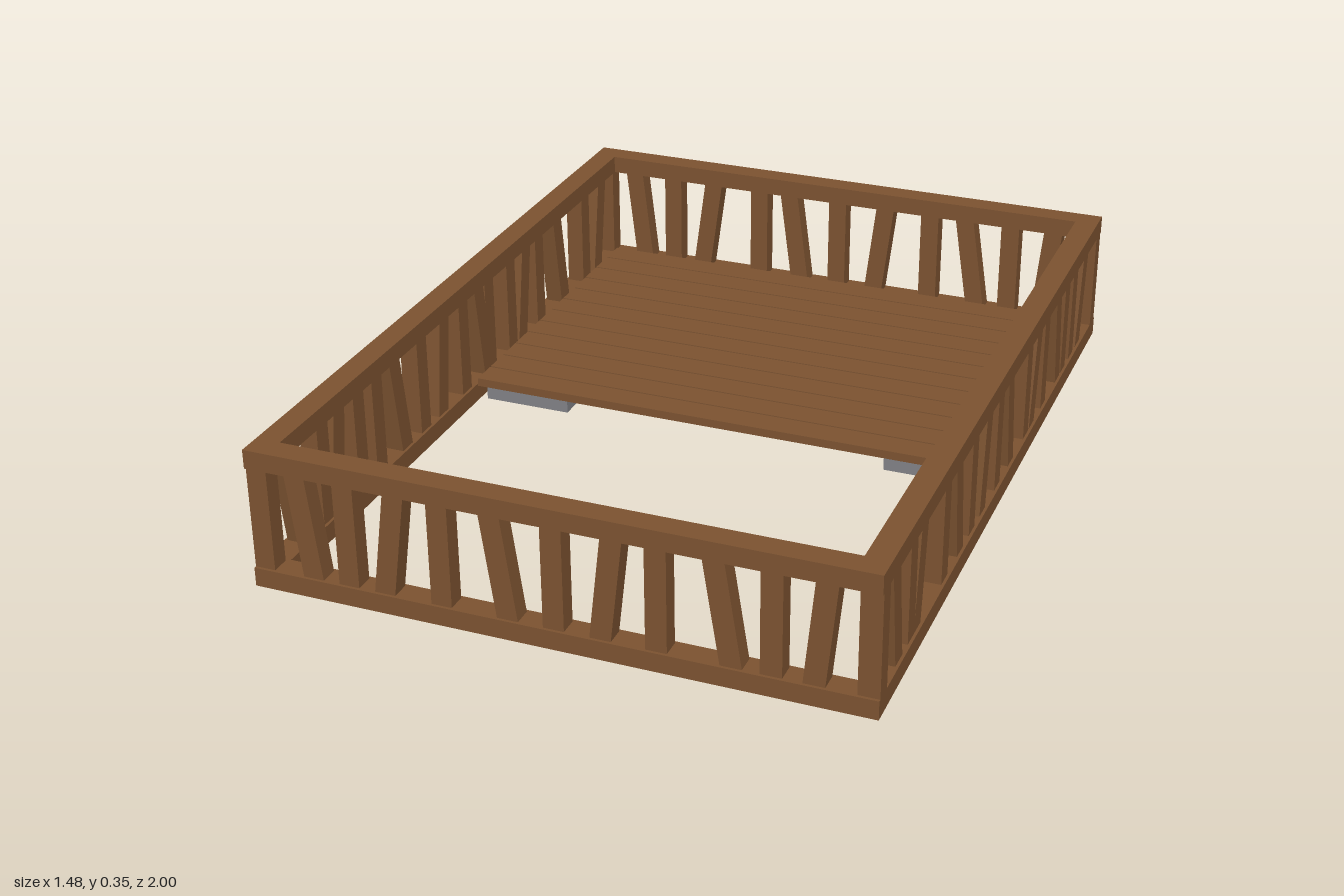
import * as THREE from 'three';

const W = 0.74, L = 1.0, H = 0.35, RAIL = 0.06, RAIL_H = 0.047;

export function createModel() {
  const model = new THREE.Group();
  model.name = 'railedDeck';
  const wood = new THREE.MeshStandardMaterial({ color: 0x7b5230 });
  const stone = new THREE.MeshStandardMaterial({ color: 0x808084 });

  function box(parent, name, size, pos, material = wood) {
    const mesh = new THREE.Mesh(new THREE.BoxGeometry(...size), material);
    mesh.name = name;
    mesh.position.set(...pos);
    parent.add(mesh);
    return mesh;
  }

  // A wall lies along its own x axis: two rails with slats between them.
  // Each slat is [position at the top, position at the bottom].
  function wall(name, length, slats) {
    const group = new THREE.Group();
    group.name = name;
    box(group, 'bottomRail', [length, RAIL_H, RAIL], [0, RAIL_H / 2, 0]);
    box(group, 'topRail', [length, RAIL_H, RAIL], [0, H - RAIL_H / 2, 0]);
    const y0 = RAIL_H, y1 = H - RAIL_H, rise = y1 - y0;
    for (const [top, bottom] of slats) {
      const lean = Math.atan2(top - bottom, rise);
      const slat = box(group, lean ? 'leaningSlat' : 'uprightSlat',
        [0.05, Math.hypot(rise, top - bottom) + 0.02, 0.046],
        [(top + bottom) / 2, (y0 + y1) / 2, 0]);
      slat.rotation.z = -lean;
    }
    model.add(group);
    return group;
  }
  const upright = (list) => list.map((p) => [p, p]);

  // Front and back walls
  const endLeans = [[-0.62, -0.59], [-0.375, -0.41], [-0.145, -0.11],
    [0.14, 0.11], [0.37, 0.41], [0.62, 0.595]];
  const front = wall('frontWall', 2 * W,
    [...upright([-0.715, -0.5, -0.27, 0, 0.24, 0.5, 0.715]), ...endLeans]);
  front.position.z = L - RAIL / 2;
  const back = wall('backWall', 2 * W,
    [...upright([-0.715, -0.5, -0.235, 0, 0.27, 0.5, 0.715]), ...endLeans]);
  back.position.z = -L + RAIL / 2;

  // Side walls, turned so that slat positions run along z
  const sideLeans = [[0.88, 0.84], [0.67, 0.705], [0.4, 0.36], [0.135, 0.165],
    [-0.06, -0.1], [-0.35, -0.31], [-0.55, -0.59], [-0.86, -0.82]];
  const sides = [
    ['leftWall', 1, [0.965, 0.75, 0.49, 0.26, 0.03, -0.25, -0.43, -0.65, -0.74, -0.965]],
    ['rightWall', -1, [0.965, 0.75, 0.58, 0.49, 0.26, 0.03, -0.12, -0.25, -0.43, -0.74, -0.965]],
  ];
  for (const [name, s, posts] of sides) {
    const side = wall(name, 2 * (L - RAIL), [...upright(posts), ...sideLeans]
      .filter(([p]) => Math.abs(p) < L - RAIL));
    side.rotation.y = -Math.PI / 2;
    side.position.x = s * (W - RAIL / 2);
  }

  // Plank floor over the back half
  const floor = new THREE.Group();
  floor.name = 'floor';
  model.add(floor);
  const count = 12, zBack = -0.94, pitch = 0.93 / count;
  for (let i = 0; i < count; i++) {
    box(floor, 'plank', [1.355, 0.022, pitch - 0.005],
      [0, 0.054, zBack + (i + 0.5) * pitch]);
  }

  // Footing blocks under the floor corners
  for (const x of [-0.545, 0.545]) {
    for (const z of [-0.82, -0.145]) {
      box(model, 'footing', [0.23, 0.042, 0.23], [x, 0.022, z], stone);
    }
  }
  return model;
}
